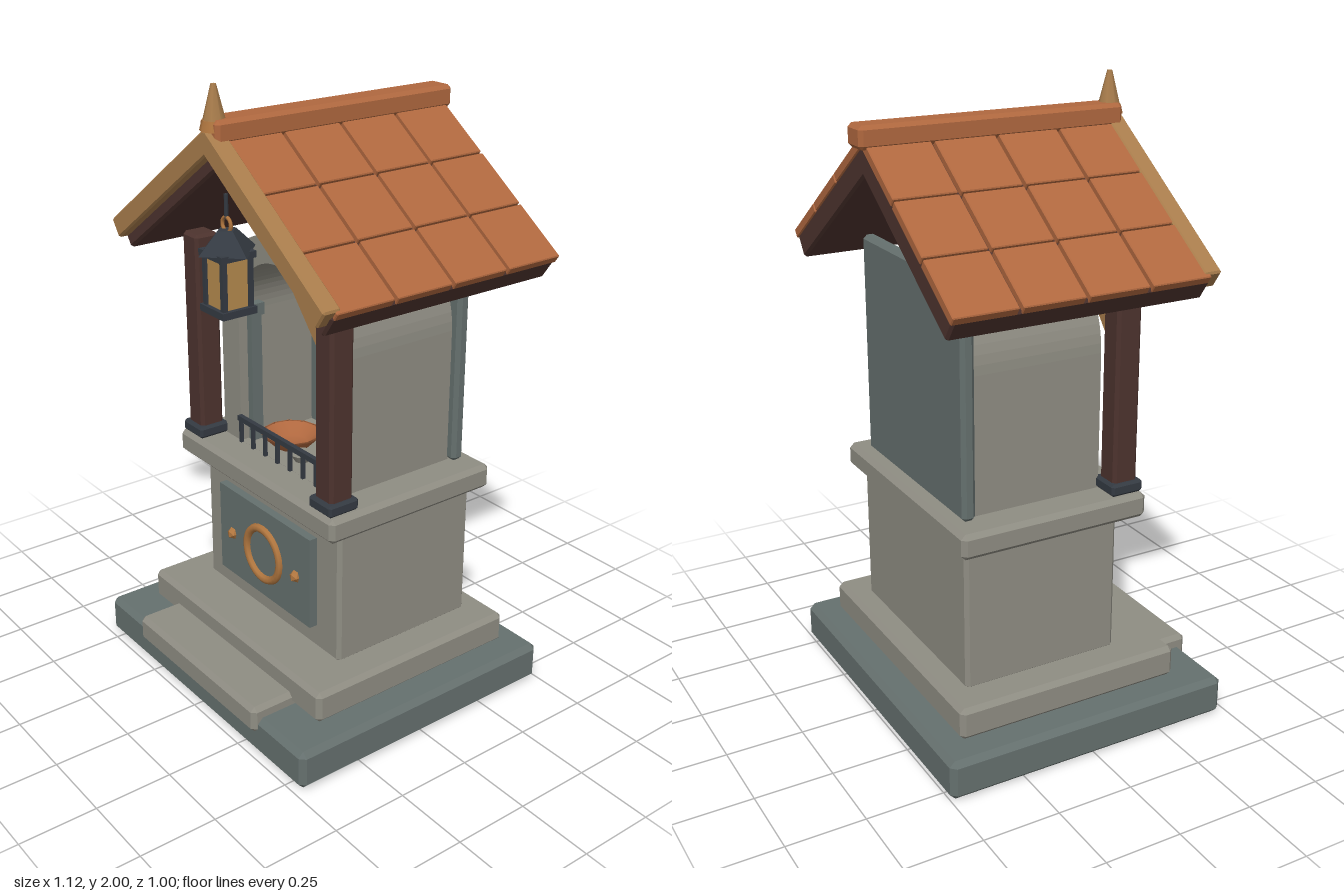
import * as THREE from 'three';
import { ConvexGeometry } from 'three/addons/geometries/ConvexGeometry.js';

const mat = (name, color) => {
  const m = new THREE.MeshStandardMaterial({ color });
  m.name = name;
  return m;
};

export function createModel() {
  const root = new THREE.Group();
  root.name = 'wayside shrine';
  const stone = mat('light stone', 0x8f8d83);
  const slate = mat('dark stone', 0x65706e);
  const tile = mat('roof tile', 0xb0683f);
  const darkWood = mat('dark wood', 0x4d332e);
  const paleWood = mat('pale wood', 0xa97d4c);
  const copper = mat('copper', 0xb0763f);
  const iron = mat('iron', 0x343a42);
  const glow = mat('lantern glass', 0xb58a4e);

  const add = (name, geo, m, x = 0, y = 0, z = 0, parent = root) => {
    const mesh = new THREE.Mesh(geo, m);
    mesh.name = name;
    mesh.position.set(x, y, z);
    parent.add(mesh);
    return mesh;
  };
  const box = (name, m, w, h, d, x, y, z, parent) =>
    add(name, new THREE.BoxGeometry(w, h, d), m, x, y, z, parent);

  // Box with chamfered edges, as the hull of its inset faces
  const chamferGeo = (w, h, d, c) => {
    const pts = [];
    for (const sx of [-1, 1]) for (const sy of [-1, 1]) for (const sz of [-1, 1]) {
      const [x, y, z] = [w / 2, h / 2, d / 2];
      pts.push(
        new THREE.Vector3(sx * x, sy * (y - c), sz * (z - c)),
        new THREE.Vector3(sx * (x - c), sy * y, sz * (z - c)),
        new THREE.Vector3(sx * (x - c), sy * (y - c), sz * z));
    }
    return new ConvexGeometry(pts);
  };
  // Chamfered block given by its extents
  const block = (name, m, x0, x1, y0, y1, z0, z1, c = 0.012) =>
    add(name, chamferGeo(x1 - x0, y1 - y0, z1 - z0, c), m, (x0 + x1) / 2, (y0 + y1) / 2, (z0 + z1) / 2);

  // Plinth
  block('base', slate, -0.56, 0.56, 0, 0.13, -0.5, 0.48, 0.018);
  block('upper step', stone, -0.47, 0.47, 0.13, 0.235, -0.42, 0.35, 0.015);
  block('front step', stone, -0.335, 0.335, 0.08, 0.17, 0.25, 0.497, 0.015);
  block('pedestal', stone, -0.36, 0.36, 0.225, 0.7, -0.345, 0.187);
  block('cornice', stone, -0.415, 0.415, 0.693, 0.775, -0.38, 0.26, 0.015);

  // Front panel with ring and studs
  box('front panel', slate, 0.495, 0.315, 0.03, 0, 0.4675, 0.2);
  add('panel ring', new THREE.TorusGeometry(0.09, 0.014, 8, 28), copper, 0, 0.465, 0.216);
  for (const s of [-1, 1])
    add('panel stud', new THREE.IcosahedronGeometry(0.021, 0), copper, s * 0.175, 0.465, 0.215);

  // Arched niche
  const archPath = (P, r, y0, spring) => {
    const p = new P();
    p.moveTo(-r, y0);
    p.lineTo(r, y0);
    p.lineTo(r, spring);
    p.absarc(0, spring, r, 0, Math.PI, false);
    p.lineTo(-r, y0);
    return p;
  };
  const arch = (name, m, outer, inner, z0, z1) => {
    const shape = archPath(THREE.Shape, ...outer);
    if (inner) shape.holes.push(archPath(THREE.Path, ...inner));
    const geo = new THREE.ExtrudeGeometry(shape, { depth: z1 - z0, bevelEnabled: false, curveSegments: 16 });
    return add(name, geo, m, 0, 0, z0);
  };
  arch('niche shell', stone, [0.305, 0.77, 1.215], [0.21, 0.7755, 1.222], -0.295, 0.15);
  arch('niche surround', slate, [0.212, 0.776, 1.222], [0.148, 0.777, 1.132], -0.18, -0.14);
  arch('niche back', stone, [0.21, 0.776, 1.2], null, -0.25, -0.165);
  block('back slab', slate, -0.335, 0.335, 0.775, 1.5, -0.337, -0.292);
  for (const s of [-1, 1]) {
    box('niche column', slate, 0.024, 0.44, 0.04, s * 0.195, 0.995, 0.1);
    box('column capital', slate, 0.036, 0.04, 0.055, s * 0.195, 1.23, 0.1);
  }
  add('niche ring', new THREE.TorusGeometry(0.09, 0.014, 8, 28), copper, 0, 1.11, -0.15);
  add('niche gem', new THREE.IcosahedronGeometry(0.045, 0), copper, 0, 1.11, -0.145);

  // Offerings
  const bowl = [[0, 0], [0.055, 0], [0.1, 0.045], [0.09, 0.045], [0.05, 0.012], [0, 0.012]]
    .map(([x, y]) => new THREE.Vector2(x, y));
  add('offering bowl', new THREE.LatheGeometry(bowl, 12), tile, -0.08, 0.776, 0.04);
  add('small dish', new THREE.CylinderGeometry(0.04, 0.025, 0.025, 10), stone, 0.03, 0.788, 0.08);
  for (const [x, h] of [[0.095, 0.1], [0.145, 0.07]]) {
    add('candle', new THREE.CylinderGeometry(0.016, 0.018, h, 8), stone, x, 0.775 + h / 2, 0.03);
    const flame = add('candle flame', new THREE.IcosahedronGeometry(0.02, 0), copper, x, 0.8 + h + 0.01, 0.03);
    flame.scale.y = 1.8;
  }

  // Iron railing
  box('rail', iron, 0.42, 0.018, 0.016, 0, 0.86, 0.155);
  for (let i = -3; i <= 3; i++)
    box('rail bar', iron, 0.011, 0.085, 0.011, i * 0.067, 0.817, 0.155);

  // Posts and braces
  for (const s of [-1, 1]) {
    const x = s * 0.345;
    block('post', darkWood, x - 0.041, x + 0.041, 0.8, 1.467, 0.155, 0.24, 0.01);
    block('post foot', iron, x - 0.054, x + 0.054, 0.775, 0.815, 0.143, 0.254, 0.008);
    const brace = box('brace', paleWood, 0.05, 0.19, 0.045, s * 0.245, 1.365, 0.195);
    brace.rotation.z = s * 0.7;
  }

  // Roof halves: u runs down the slope, v is the height above the tile surface
  const a = THREE.MathUtils.degToRad(35), cos = Math.cos(a), sin = Math.sin(a);
  for (const s of [-1, 1]) {
    const half = new THREE.Group();
    half.name = s > 0 ? 'left roof half' : 'right roof half';
    root.add(half);
    const slab = (name, m, u0, u1, v0, v1, z0, z1, c) => {
      const u = (u0 + u1) / 2, v = (v0 + v1) / 2;
      const mesh = add(name, chamferGeo(u1 - u0, v1 - v0, z1 - z0, c), m,
        s * (u * cos + v * sin), 1.875 - u * sin + v * cos, (z0 + z1) / 2, half);
      mesh.rotation.z = -s * a;
    };
    slab('roof deck', darkWood, 0, 0.68, -0.1, -0.02, -0.47, 0.362, 0.008);
    slab('gable board', paleWood, 0, 0.672, -0.062, 0.004, 0.335, 0.395, 0.006);
    const rows = [0.02, 0.257, 0.47, 0.684], cols = [-0.475, -0.268, -0.059, 0.15, 0.355];
    for (let r = 0; r < 3; r++) for (let k = 0; k < 4; k++)
      slab('roof tile', tile, rows[r] + 0.003, rows[r + 1] - 0.003, -0.03, 0,
        cols[k] + (k ? 0.006 : 0), cols[k + 1] - (k < 3 ? 0.006 : 0), 0.003);
  }
  block('ridge cap', tile, -0.047, 0.047, 1.835, 1.905, -0.497, 0.38, 0.012);

  // Finial
  const finial = new THREE.Group();
  finial.name = 'finial';
  finial.position.z = 0.357;
  root.add(finial);
  add('finial base', new THREE.CylinderGeometry(0.036, 0.044, 0.03, 8), copper, 0, 1.885, 0, finial);
  add('finial spike', new THREE.CylinderGeometry(0.008, 0.036, 0.11, 8), paleWood, 0, 1.945, 0, finial);

  // Hanging lantern
  const lantern = new THREE.Group();
  lantern.name = 'lantern';
  lantern.position.z = 0.325;
  root.add(lantern);
  box('lantern base', iron, 0.122, 0.022, 0.122, 0, 1.336, 0, lantern);
  box('lantern glass', glow, 0.092, 0.165, 0.092, 0, 1.425, 0, lantern);
  box('lantern top', iron, 0.122, 0.02, 0.122, 0, 1.507, 0, lantern);
  for (const sx of [-1, 1]) for (const sz of [-1, 1])
    box('lantern bar', iron, 0.016, 0.17, 0.016, sx * 0.046, 1.425, sz * 0.046, lantern);
  const hood = new THREE.CylinderGeometry(0.032, 0.1, 0.065, 4).toNonIndexed();
  hood.computeVertexNormals();
  add('lantern hood', hood, iron, 0, 1.545, 0, lantern);
  add('lantern ring', new THREE.TorusGeometry(0.022, 0.006, 6, 16), copper, 0, 1.592, 0, lantern);
  add('lantern hook', new THREE.CylinderGeometry(0.007, 0.007, 0.075, 6), iron, 0, 1.645, 0, lantern);

  return root;
}
